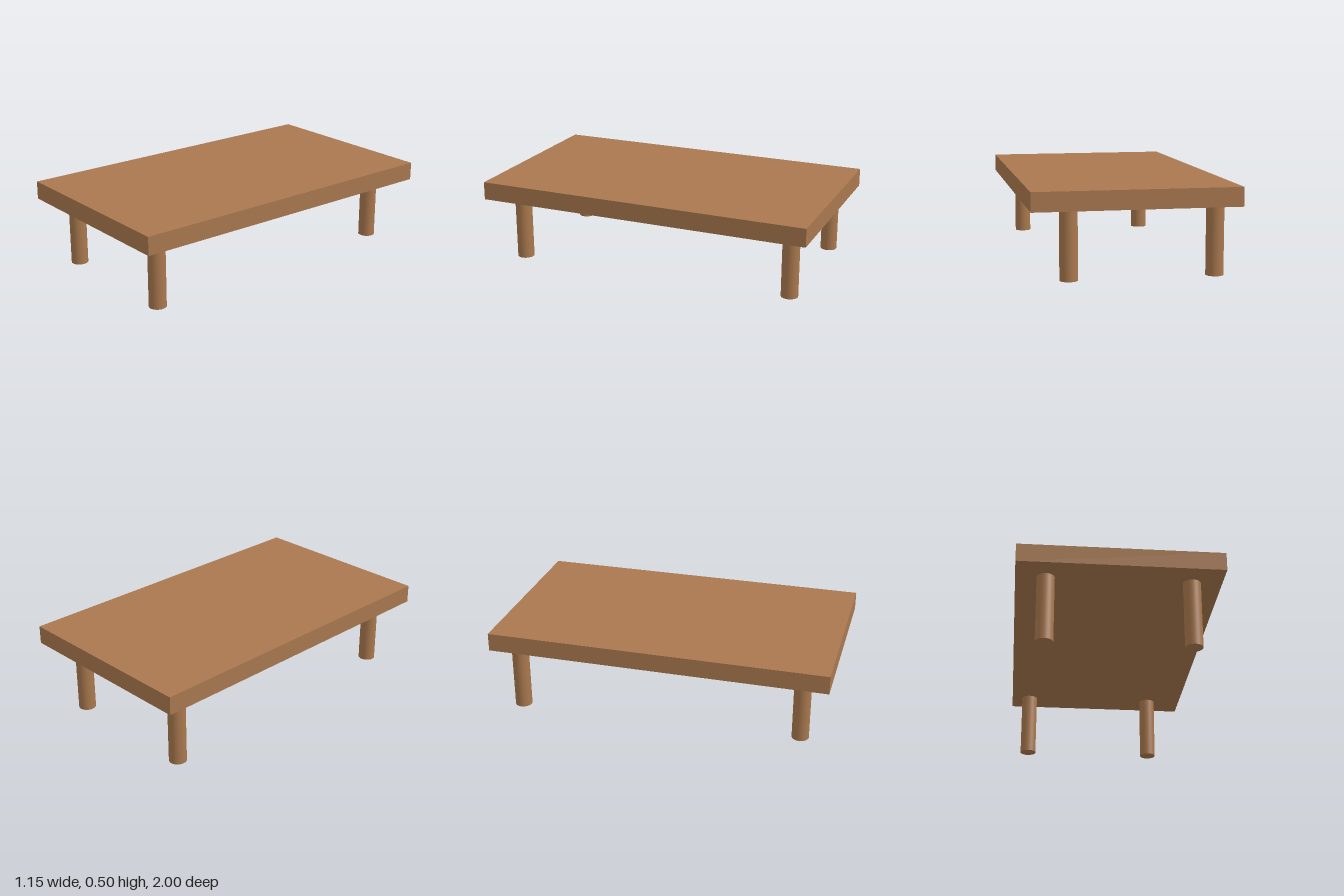
import * as THREE from 'three';

export function createModel() {
  const model = new THREE.Group();
  model.name = 'lowTable';
  const wood = new THREE.MeshStandardMaterial({ color: 0xa9784e });
  wood.name = 'warm wood';

  // Thick rectangular slab
  const top = new THREE.Mesh(new THREE.BoxGeometry(1.148, 0.107, 2), wood);
  top.name = 'tableTop';
  top.position.y = 0.449;
  model.add(top);

  // Round legs; the back pair sits slightly towards -x
  const legHeight = 0.396;
  const legGeometry = new THREE.CylinderGeometry(0.05, 0.05, legHeight, 32);
  const legs = [
    ['frontLeftLeg', 0.406, 0.833],
    ['frontRightLeg', -0.406, 0.833],
    ['backLeftLeg', 0.355, -0.855],
    ['backRightLeg', -0.457, -0.855],
  ];
  for (const [name, x, z] of legs) {
    const leg = new THREE.Mesh(legGeometry, wood);
    leg.name = name;
    leg.position.set(x, legHeight / 2, z);
    model.add(leg);
  }
  return model;
}
